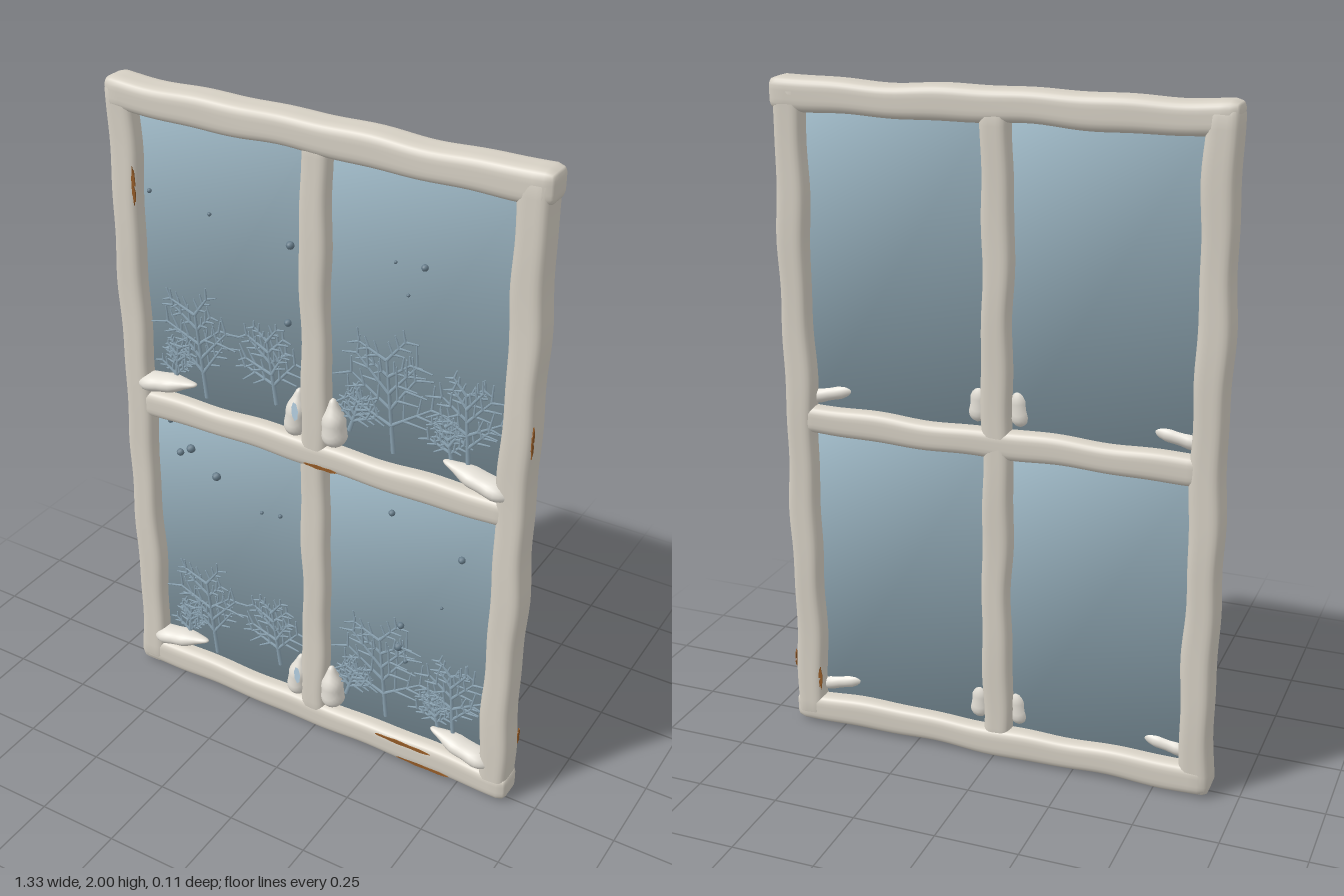
import * as THREE from 'three';
import { mergeGeometries, mergeVertices } from 'three/addons/utils/BufferGeometryUtils.js';

const mat = (name, color, side = THREE.FrontSide) => {
  const m = new THREE.MeshStandardMaterial({ color, side });
  m.name = name;
  return m;
};

// Smooth normals across shared corners
function smooth(geo) {
  geo.deleteAttribute('uv');
  geo.deleteAttribute('normal');
  const g = mergeVertices(geo, 1e-4);
  g.computeVertexNormals();
  return g;
}

// Hand-worn bar: a rounded box whose sides wander along its length
function bar(w, h, d, seed, r = 0.026) {
  const tall = h > w;
  const geo = new THREE.BoxGeometry(w, h, d, tall ? 8 : 48, tall ? 60 : 8, 8);
  const pos = geo.attributes.position;
  const p = new THREE.Vector3(), core = new THREE.Vector3();
  const lim = new THREE.Vector3(w / 2 - r, h / 2 - r, d / 2 - r);
  for (let i = 0; i < pos.count; i++) {
    p.fromBufferAttribute(pos, i);
    core.copy(p).clamp(lim.clone().negate(), lim);
    p.sub(core);
    if (p.lengthSq() > 0) p.setLength(r);
    p.add(core);
    const t = tall ? p.y : p.x;
    const shift = 0.003 * Math.sin(t * 9 + seed) + 0.002 * Math.sin(t * 23 + seed * 2);
    const swell = 1 + 0.04 * Math.sin(t * 14 + seed * 3);
    if (tall) p.x = p.x * swell + shift;
    else p.y = p.y * swell + shift;
    p.z += 0.0015 * Math.sin(t * 12 + seed);
    pos.setXYZ(i, p.x, p.y, p.z);
  }
  return smooth(geo);
}

// Glass sheet with corner-blended normals
function paneGeometry(w, h) {
  const geo = new THREE.BoxGeometry(w, h, 0.012);
  const pos = geo.attributes.position;
  for (let i = 0; i < pos.count; i++) {
    const n = new THREE.Vector3(Math.sign(pos.getX(i)), Math.sign(pos.getY(i)), Math.sign(pos.getZ(i))).normalize();
    geo.attributes.normal.setXYZ(i, n.x, n.y, n.z);
  }
  return geo;
}

// Teardrop snow lump, thick at -x and thin at +x before turning
function drift(length, height, depth) {
  const geo = new THREE.IcosahedronGeometry(1, 4);
  const pos = geo.attributes.position;
  for (let i = 0; i < pos.count; i++) {
    const u = pos.getX(i), k = 1 - 0.42 * u + 0.08 * Math.sin(u * 7);
    pos.setXYZ(i, u * length, pos.getY(i) * height * k, pos.getZ(i) * depth * k);
  }
  return smooth(geo);
}

// Branching frost fern, grown twig by twig
function fern(height, lean, seed) {
  let s = seed;
  const rnd = () => (s = (s * 16807) % 2147483647) / 2147483647;
  const twigs = [];
  const grow = (x, y, a, len, r, level) => {
    const g = new THREE.CylinderGeometry(r * 0.55, r, len, 5);
    g.translate(0, len / 2, 0).rotateZ(-a).translate(x, y, (rnd() - 0.5) * 0.006);
    twigs.push(g);
    if (level === 0) return;
    const n = level === 2 ? 5 : 3;
    for (let i = 0; i < n; i++) {
      const t = 0.3 + (0.68 * i) / (n - 1);
      for (const side of [-1, 1]) {
        const size = level === 2 ? 0.55 - 0.25 * t : 0.42;
        grow(x + Math.sin(a) * len * t, y + Math.cos(a) * len * t,
          a + side * (0.65 + rnd() * 0.45), len * size * (0.75 + rnd() * 0.5), r * 0.75, level - 1);
      }
    }
  };
  grow(0, 0, lean, height, 0.0075, 2);
  return mergeGeometries(twigs);
}

export function createModel() {
  const model = new THREE.Group();
  model.name = 'frostedWindow';
  const paint = mat('chalky frame paint', 0xd6d0c4);
  const glass = mat('blue grey glass', 0x97b0bd);
  const frost = mat('frost blue', 0x8ba3b2);
  const speck = mat('frost speck', 0x667c8a);
  const snow = mat('snow', 0xe2ded5);
  const ice = mat('pale ice', 0xa9c2d3, THREE.DoubleSide);
  const wood = mat('bare wood', 0x925a26, THREE.DoubleSide);

  const add = (name, geo, material, x, y, z, rot = 0, parent = model) => {
    const m = new THREE.Mesh(geo, material);
    m.name = name;
    m.position.set(x, y, z);
    m.rotation.z = rot;
    parent.add(m);
    return m;
  };

  // Frame
  add('rightStile', bar(0.092, 1.99, 0.098, 1), paint, -0.617, 1, -0.01);
  add('leftStile', bar(0.092, 1.99, 0.098, 4), paint, 0.611, 1, -0.01);
  add('topRail', bar(1.325, 0.092, 0.098, 2), paint, 0, 1.951, -0.01);
  add('bottomRail', bar(1.325, 0.092, 0.098, 5), paint, 0, 0.051, -0.01);
  add('middleRail', bar(1.23, 0.086, 0.092, 3), paint, 0, 1.005, -0.01);
  add('mullion', bar(0.088, 1.93, 0.09, 6), paint, -0.006, 1, -0.01);

  // Panes
  for (const [x, w] of [[-0.309, 0.535], [0.302, 0.535]]) {
    add('pane', paneGeometry(w, 0.87), glass, x, 1.477, -0.01);
    add('pane', paneGeometry(w, 0.88), glass, x, 0.53, -0.01);
  }

  // Ferns and drifts repeat in the lower and upper rows
  for (const base of [0, 0.95]) {
    const row = new THREE.Group();
    row.name = base ? 'upperFrost' : 'lowerFrost';
    row.position.y = base;
    model.add(row);
    const ferns = [
      [-0.38, 0.12, 0.27, -0.12, 11], [-0.49, 0.13, 0.13, 0.1, 57],
      [-0.14, 0.17, 0.2, -0.15, 23], [0.24, 0.13, 0.29, -0.1, 37],
      [0.1, 0.16, 0.12, 0.3, 71], [0.47, 0.15, 0.23, -0.08, 41], [0.42, 0.15, 0.12, -0.2, 83],
    ];
    for (const [x, y, h, lean, seed] of ferns) {
      add('frostFern', fern(h, lean, seed * 7919), frost, x, y, 0.002, 0, row);
    }
    add('cornerDrift', drift(0.105, 0.027, 0.04), snow, -0.512, 0.137, 0.012, 0.19, row);
    add('cornerDrift', drift(0.108, 0.027, 0.04), snow, 0.503, 0.14, 0.012, Math.PI - 0.24, row);
    add('mullionDrift', drift(0.078, 0.033, 0.036), snow, -0.065, 0.175, 0.01, Math.PI / 2 - 0.1, row);
    add('mullionDrift', drift(0.077, 0.035, 0.036), snow, 0.055, 0.175, 0.01, Math.PI / 2 + 0.05, row);
    // Ice glaze on one drift
    add('iceGlaze', new THREE.CircleGeometry(0.02, 7).scale(0.55, 1.4, 1), ice, -0.052, 0.195, 0.046, 0.2, row).rotation.x = -0.2;
  }

  // Loose specks on the glass: x, y, radius
  const specks = [
    [-0.09, 1.625, 0.012], [-0.1, 1.39, 0.011], [-0.35, 1.655, 0.006], [-0.55, 1.68, 0.007],
    [0.315, 1.66, 0.01], [0.23, 1.655, 0.005], [0.27, 1.57, 0.005],
    [-0.45, 0.87, 0.014], [-0.49, 0.845, 0.012], [-0.36, 0.8, 0.014], [-0.52, 0.95, 0.01],
    [-0.2, 0.725, 0.006], [-0.135, 0.735, 0.007], [0.24, 0.88, 0.01], [0.465, 0.8, 0.011],
    [0.41, 0.61, 0.005], [0.28, 0.495, 0.011], [0.275, 0.415, 0.014], [0.3, 0.37, 0.008],
  ];
  for (const [x, y, r] of specks) add('frostSpeck', new THREE.IcosahedronGeometry(r, 1), speck, x, y, 0);

  // Chipped paint: ragged thin flakes, w long and h high
  const chip = (w, h) => {
    const s = new THREE.Shape();
    for (let i = 0; i < 14; i++) {
      const a = (i / 14) * Math.PI * 2, k = i % 2 ? 0.65 : 1;
      s.lineTo((Math.cos(a) * w) / 2, (Math.sin(a) * h * k) / 2);
    }
    return new THREE.ExtrudeGeometry(s, { depth: 0.003, bevelEnabled: false });
  };
  add('paintChip', chip(0.19, 0.014), wood, 0.32, 0.081, 0.038);
  add('paintChip', chip(0.18, 0.012), wood, 0.39, 0.022, 0.036);
  add('paintChip', chip(0.11, 0.013), wood, 0.025, 0.978, 0.034);
  add('paintChip', chip(0.012, 0.12), wood, -0.577, 1.7, 0.033);
  const sideChips = [[0.657, 1.26, 0.027, 0.1], [0.657, 0.21, -0.045, 0.06]];
  for (const [x, y, z, h] of sideChips) {
    add('paintChip', chip(0.014, h), wood, x, y, z).rotation.y = Math.PI / 2;
  }
  add('paintChip', chip(0.012, 0.08), wood, 0.572, 0.16, -0.058);

  return model;
}
